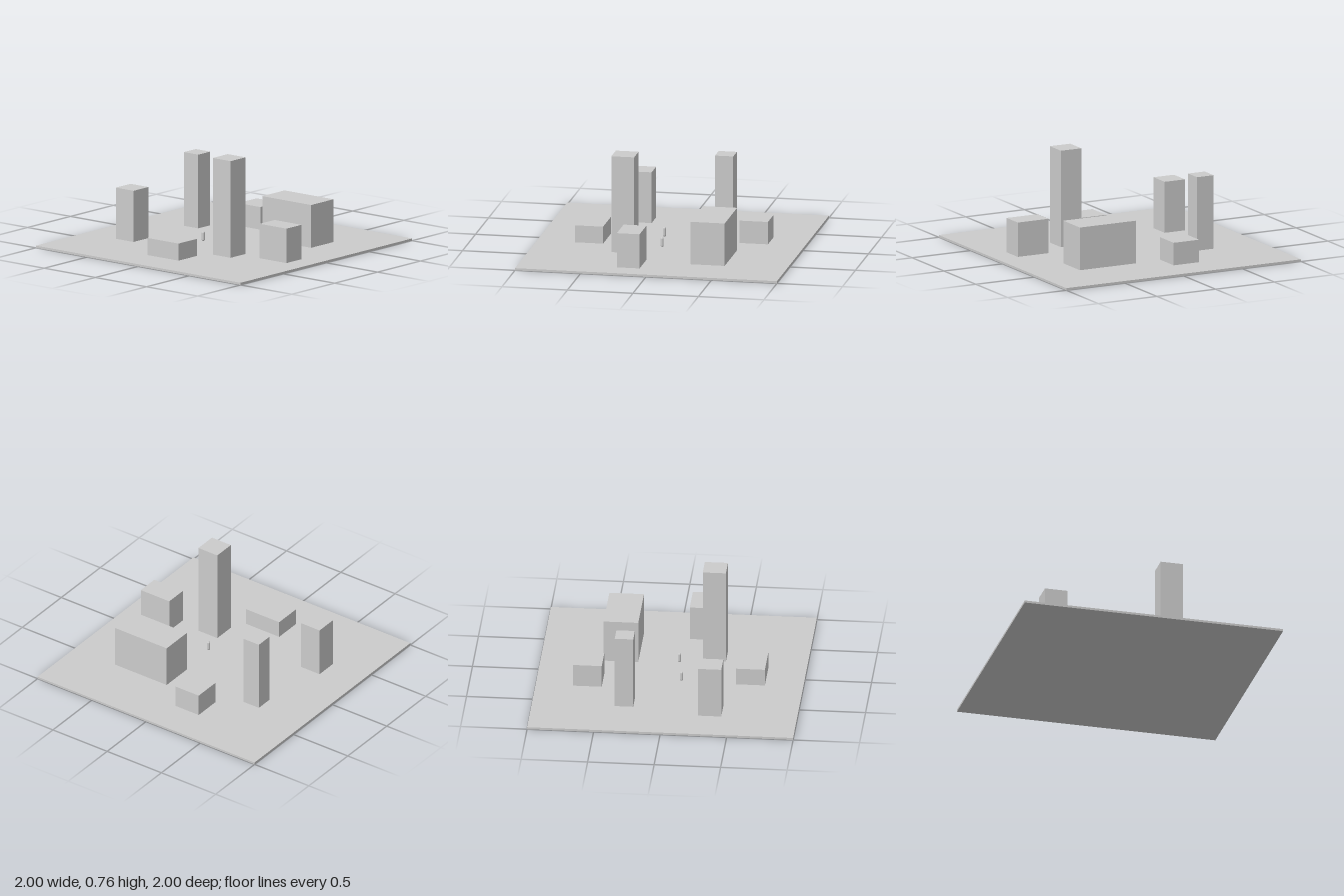
import * as THREE from 'three';

const GROUND_TOP = 0.017;

// name, centre x, centre z, width, depth, roof height
const BUILDINGS = [
  ['lowSquareBlock', -0.175, -0.611, 0.216, 0.216, 0.19],
  ['wideBlock', 0.389, -0.397, 0.478, 0.26, 0.345],
  ['slimTower', -0.522, -0.308, 0.141, 0.139, 0.582],
  ['midTower', -0.608, 0.346, 0.173, 0.173, 0.409],
  ['lowFrontBlock', 0, 0.604, 0.305, 0.216, 0.148],
  ['tallTower', 0.301, 0.299, 0.174, 0.174, 0.758],
  ['sideBlock', 0.695, 0.17, 0.262, 0.174, 0.281],
];

// centre x, centre z
const FIGURES = [[-0.132, 0.084], [0.172, 0.041]];

export function createModel() {
  const model = new THREE.Group();
  model.name = 'cityBlock';
  const grey = new THREE.MeshStandardMaterial({ color: 0xcccccc });

  const add = (name, geometry, x, y, z) => {
    const mesh = new THREE.Mesh(geometry, grey);
    mesh.name = name;
    mesh.position.set(x, y, z);
    model.add(mesh);
  };

  // Thin square ground slab
  add('ground', new THREE.BoxGeometry(2, GROUND_TOP, 2), 0, GROUND_TOP / 2, 0);

  // Plain box buildings standing on the slab
  for (const [name, x, z, width, depth, roof] of BUILDINGS) {
    const height = roof - GROUND_TOP;
    add(name, new THREE.BoxGeometry(width, height, depth), x, GROUND_TOP + height / 2, z);
  }

  // Two small capsule figures in the open space
  const radius = 0.012;
  const figureHeight = 0.074;
  const capsule = new THREE.CapsuleGeometry(radius, figureHeight - 2 * radius, 8, 24);
  FIGURES.forEach(([x, z], i) =>
    add(`figure${i + 1}`, capsule, x, 0.021 + figureHeight / 2, z));

  return model;
}
